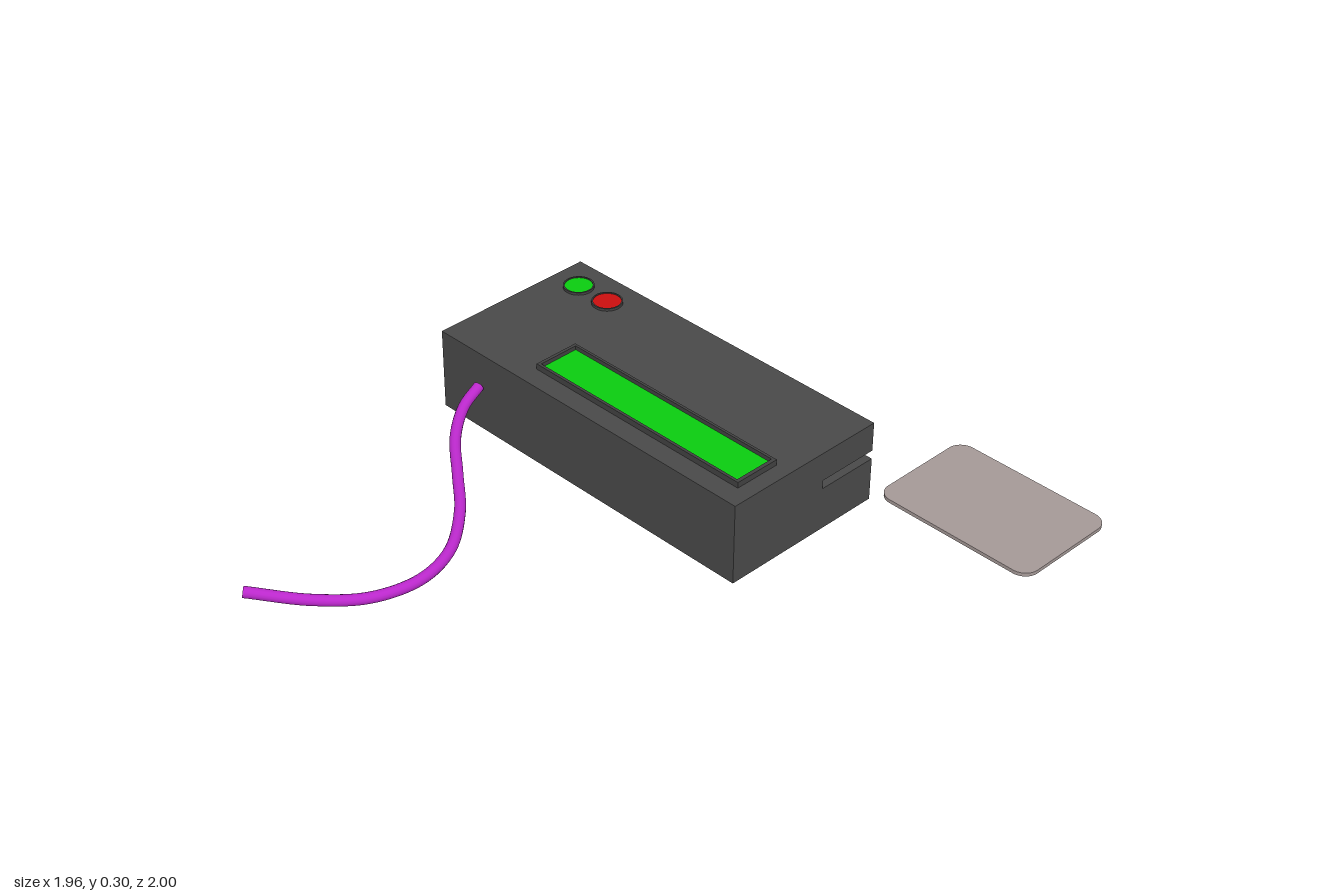
import * as THREE from 'three';

const mat = (name, color, side = THREE.FrontSide) => {
  const m = new THREE.MeshStandardMaterial({ color, side });
  m.name = name;
  return m;
};

// Closed polygon shape from [x, y] pairs
const poly = (pts) => new THREE.Shape(pts.map(([x, y]) => new THREE.Vector2(x, y)));

const rect = (x0, y0, x1, y1) => poly([[x0, y0], [x1, y0], [x1, y1], [x0, y1]]);

function roundedRect(x0, y0, x1, y1, r) {
  const s = new THREE.Shape();
  s.absarc(x1 - r, y0 + r, r, -Math.PI / 2, 0);
  s.absarc(x1 - r, y1 - r, r, 0, Math.PI / 2);
  s.absarc(x0 + r, y1 - r, r, Math.PI / 2, Math.PI);
  s.absarc(x0 + r, y0 + r, r, Math.PI, Math.PI * 1.5);
  s.closePath();
  return s;
}

// Horizontal plate: shape drawn in (x, -z), raised from y by the given height
function plate(shape, y, height) {
  const g = new THREE.ExtrudeGeometry(shape, { depth: height, bevelEnabled: false, curveSegments: 16 });
  return g.rotateX(-Math.PI / 2).translate(0, y, 0);
}

export function createModel() {
  const casing = mat('charcoal casing', 0x4a4a4a);
  const trim = mat('dark trim', 0x424242);
  const green = mat('bright green', 0x0acd10);
  const red = mat('red', 0xcc0f0f);
  const metal = mat('warm grey card', 0xa69a98);
  const purple = mat('purple cable', 0xbb28cc);

  const model = new THREE.Group();
  model.name = 'cardReader';
  const add = (name, geometry, material, parent = model) => {
    const mesh = new THREE.Mesh(geometry, material);
    mesh.name = name;
    parent.add(mesh);
    return mesh;
  };

  // Casing with a swipe slot running its full length
  const top = 0.286;
  const profile = poly([
    [0.14, 0.003], [0.74, 0.003], [0.74, 0.154], [0.52, 0.154],
    [0.52, 0.184], [0.74, 0.184], [0.74, top], [0.14, top],
  ]);
  const body = new THREE.ExtrudeGeometry(profile, { depth: 1.286, bevelEnabled: false });
  add('casing', body.translate(0, 0, -1), casing);

  // Display with a raised frame
  const frame = rect(0.209, -0.23, 0.373, 0.633);
  frame.holes.push(rect(0.219, -0.217, 0.364, 0.622));
  add('displayFrame', plate(frame, top, 0.02), trim);
  add('display', plate(rect(0.219, -0.217, 0.364, 0.622), top, 0.006), green);

  // Indicator lights, each in a thin ring
  for (const [name, z, material] of [['greenLight', -0.89, green], ['redLight', -0.757, red]]) {
    const light = new THREE.Group();
    light.name = name;
    light.position.set(0.629, top, z);
    const ring = new THREE.Shape().absarc(0, 0, 0.051, 0, Math.PI * 2);
    ring.holes.push(new THREE.Path().absarc(0, 0, 0.046, 0, Math.PI * 2, true));
    add('lightRing', plate(ring, 0, 0.009), trim, light);
    add('lightLens', new THREE.CylinderGeometry(0.046, 0.046, 0.006, 32).translate(0, 0.003, 0), material, light);
    model.add(light);
  }

  // Loose card in line with the slot
  add('card', plate(roundedRect(0.6, -0.997, 0.98, -0.43, 0.05), 0.163, 0.012), metal);

  // Cable curving down from the casing
  const path = new THREE.CatmullRomCurve3([
    [0.13, 0.168, -0.82], [0.05, 0.141, -0.8], [-0.05, 0.11, -0.728],
    [-0.15, 0.081, -0.605], [-0.25, 0.057, -0.482], [-0.38, 0.033, -0.382],
    [-0.52, 0.021, -0.35], [-0.68, 0.021, -0.387], [-0.82, 0.038, -0.478],
    [-0.967, 0.073, -0.612],
  ].map((p) => new THREE.Vector3(...p)));
  const radius = 0.018;
  add('cable', new THREE.TubeGeometry(path, 80, radius, 14), purple);

  // Cable end caps
  for (const t of [0, 1]) {
    const cap = add('cableEnd', new THREE.CircleGeometry(radius, 14), trim);
    const dir = path.getTangent(t).multiplyScalar(t ? 1 : -1);
    cap.position.copy(path.getPoint(t));
    cap.quaternion.setFromUnitVectors(new THREE.Vector3(0, 0, 1), dir);
  }

  return model;
}
